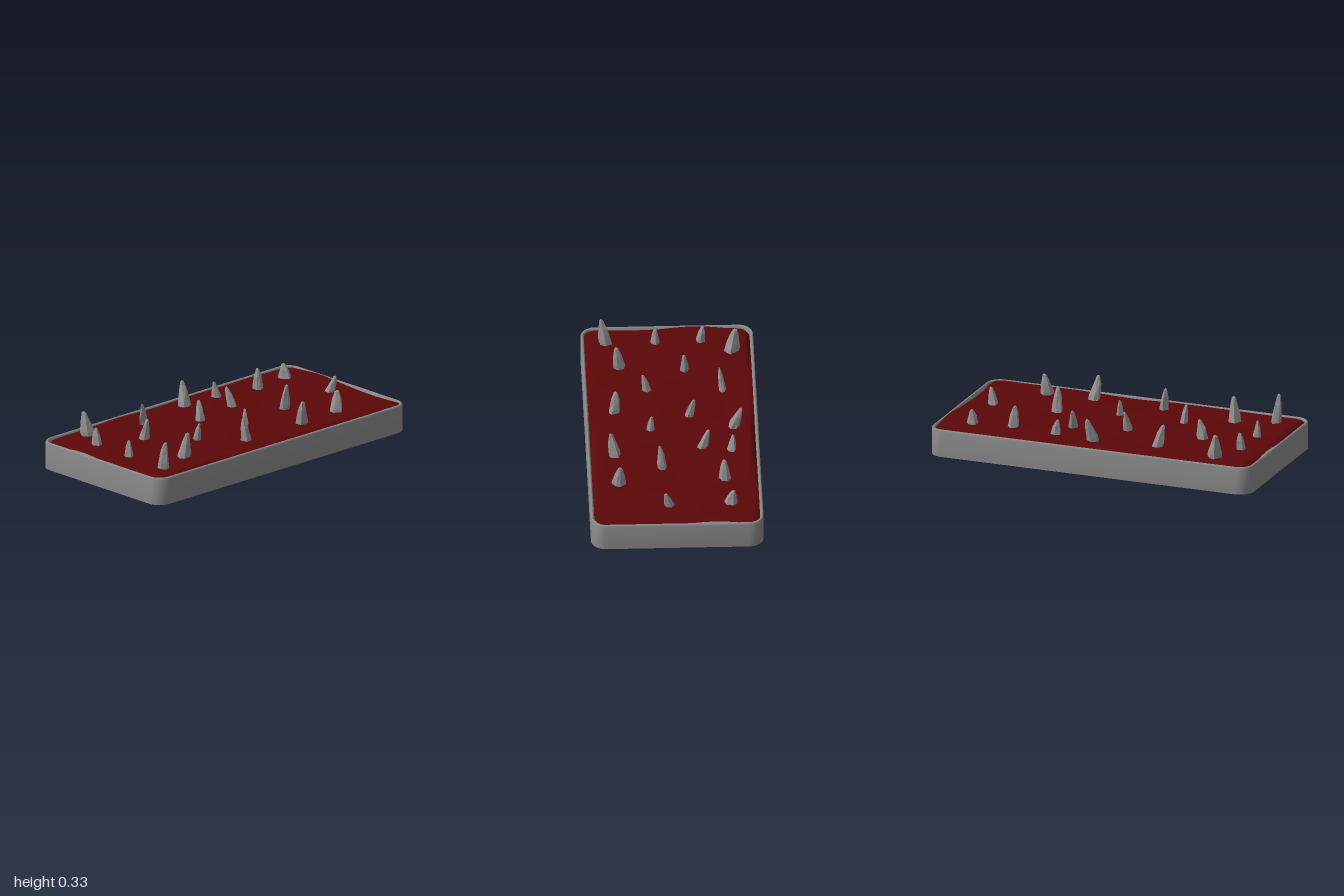
import * as THREE from 'three';
import { toCreasedNormals } from 'three/addons/utils/BufferGeometryUtils.js';

const W = 0.5, D = 1, R = 0.085;

// Rounded rectangle outline in (x, z), moved inwards by inset
function outline(inset) {
  const r = R - inset, pts = [];
  const corners = [[1, 1], [-1, 1], [-1, -1], [1, -1]];
  corners.forEach(([sx, sz], c) => {
    for (let i = 0; i <= 8; i++) {
      const a = (c + i / 8) * Math.PI / 2;
      pts.push([sx * (W - inset - r) + r * Math.cos(a), sz * (D - inset - r) + r * Math.sin(a)]);
    }
  });
  return pts;
}

// Joins rings of points, each running from +x towards +z, and closes both ends with a fan
function loft(rings, startPoint, endPoint) {
  const n = rings[0].length, pos = rings.flat(2), idx = [];
  for (let k = 0; k < rings.length - 1; k++) {
    for (let i = 0; i < n; i++) {
      const a = k * n + i, b = k * n + (i + 1) % n;
      idx.push(a, a + n, b, b, a + n, b + n);
    }
  }
  const cap = (k, point, flip) => {
    const c = pos.length / 3;
    pos.push(...point);
    for (let i = 0; i < n; i++) {
      const a = k * n + i, b = k * n + (i + 1) % n;
      idx.push(...(flip ? [c, a, b] : [c, b, a]));
    }
  };
  cap(0, startPoint, true);
  cap(rings.length - 1, endPoint, false);
  const g = new THREE.BufferGeometry();
  g.setAttribute('position', new THREE.Float32BufferAttribute(pos, 3));
  g.setIndex(idx);
  g.computeVertexNormals();
  return g;
}

// Open tray with a softened rim
function makeTray(material) {
  const profile = [[0, 0], [0, 0.154], [0.002, 0.16], [0.007, 0.164], [0.012, 0.164],
    [0.017, 0.16], [0.02, 0.152], [0.022, 0.08]];
  const rings = profile.map(([inset, y]) => outline(inset).map(([x, z]) => [x, y, z]));
  const tray = new THREE.Mesh(toCreasedNormals(loft(rings, [0, 0, 0], [0, 0.08, 0]), 0.8), material);
  tray.name = 'tray';
  return tray;
}

// Gently rippled filling that sinks unevenly along the walls
function makeFilling(material) {
  const w = W - 0.02, d = D - 0.02, r = R - 0.02;
  const g = new THREE.PlaneGeometry(2 * w, 2 * d, 64, 128).rotateX(-Math.PI / 2);
  const p = g.attributes.position;
  for (let i = 0; i < p.count; i++) {
    let x = p.getX(i), z = p.getZ(i);
    const edge = Math.min(w - Math.abs(x), d - Math.abs(z));
    const dx = Math.abs(x) - (w - r), dz = Math.abs(z) - (d - r);
    if (dx > 0 && dz > 0) {
      const s = Math.max(dx, dz) / Math.hypot(dx, dz);
      x = Math.sign(x) * (w - r + dx * s);
      z = Math.sign(z) * (d - r + dz * s);
    }
    const ripple = 0.003 * Math.sin(9 * x + 4 * z) + 0.003 * Math.sin(7 * z - 5 * x + 1);
    const sink = Math.max(0, 1 - edge / 0.035) ** 2 * (0.018 + 0.014 * Math.sin(6 * z + 8 * x));
    p.setXYZ(i, x, 0.167 + ripple - sink, z);
  }
  g.computeVertexNormals();
  const filling = new THREE.Mesh(g, material);
  filling.name = 'redFilling';
  return filling;
}

// Faceted rock spike leaning from its base to its blunt tip
function makeSpike([x, z, rx, rz, height, leanX, leanZ], seed, material) {
  const noise = k => { const s = Math.sin(seed * 12.9 + k * 78.2) * 43758.5; return s - Math.floor(s); };
  const base = 0.13, sides = 6;
  const levels = [[0, 1.16], [0.35, 1], [0.68, 0.72], [0.94, 0.34]];
  const rings = levels.map(([t, s], k) => Array.from({ length: sides }, (_, i) => {
    const a = (i + 0.5 * noise(i)) / sides * 2 * Math.PI + seed;
    const f = s * (0.88 + 0.24 * noise(i + 10 * k));
    const y = base + (height - base) * (t + (k ? 0.06 * (noise(i + 40 + k) - 0.5) : 0));
    return [x + leanX * t + rx * f * Math.cos(a), y, z + leanZ * t + rz * f * Math.sin(a)];
  }));
  const g = loft(rings, [x, base, z], [x + leanX, height, z + leanZ]);
  const spike = new THREE.Mesh(g, material);
  spike.name = 'spike' + seed;
  return spike;
}

export function createModel() {
  const grey = new THREE.MeshStandardMaterial({ color: 0x878787 });
  const rock = new THREE.MeshStandardMaterial({ color: 0x919191, flatShading: true });
  const red = new THREE.MeshStandardMaterial({ color: 0x5c0709, side: THREE.DoubleSide });

  const model = new THREE.Group();
  model.name = 'spikedTray';
  model.add(makeTray(grey), makeFilling(red));

  // x, z, radius in x, radius in z, tip height, lean in x, lean in z
  const spots = [
    [-0.31, -0.79, 0.036, 0.032, 0.255, -0.02, 0.0],
    [0.03, -0.80, 0.03, 0.028, 0.265, 0.035, -0.03],
    [0.33, -0.58, 0.038, 0.036, 0.295, -0.01, -0.02],
    [-0.29, -0.55, 0.034, 0.032, 0.295, 0.005, 0.01],
    [0.065, -0.42, 0.026, 0.03, 0.315, 0.02, 0.0],
    [0.335, -0.30, 0.034, 0.034, 0.312, 0.03, 0.02],
    [-0.335, -0.27, 0.026, 0.03, 0.265, -0.01, 0.02],
    [-0.155, -0.225, 0.03, 0.028, 0.28, -0.05, 0.01],
    [-0.345, -0.02, 0.033, 0.036, 0.31, -0.055, -0.025],
    [0.13, -0.05, 0.022, 0.021, 0.262, -0.01, 0.0],
    [-0.095, 0.095, 0.028, 0.026, 0.285, -0.035, -0.015],
    [0.335, 0.14, 0.033, 0.03, 0.3, -0.015, 0.015],
    [-0.305, 0.345, 0.021, 0.032, 0.295, 0.02, 0.04],
    [0.125, 0.34, 0.026, 0.022, 0.276, 0.033, 0.01],
    [-0.09, 0.56, 0.025, 0.035, 0.285, 0.004, -0.03],
    [0.285, 0.605, 0.037, 0.038, 0.31, 0.02, -0.02],
    [-0.365, 0.735, 0.042, 0.042, 0.31, -0.025, 0.015],
    [-0.19, 0.83, 0.029, 0.03, 0.275, -0.015, 0.0],
    [0.07, 0.83, 0.026, 0.024, 0.265, 0.0, 0.0],
    [0.35, 0.83, 0.036, 0.027, 0.332, 0.035, 0.01],
  ];
  const spikes = new THREE.Group();
  spikes.name = 'spikes';
  spots.forEach((spot, i) => spikes.add(makeSpike(spot, i + 1, rock)));
  model.add(spikes);
  return model;
}
